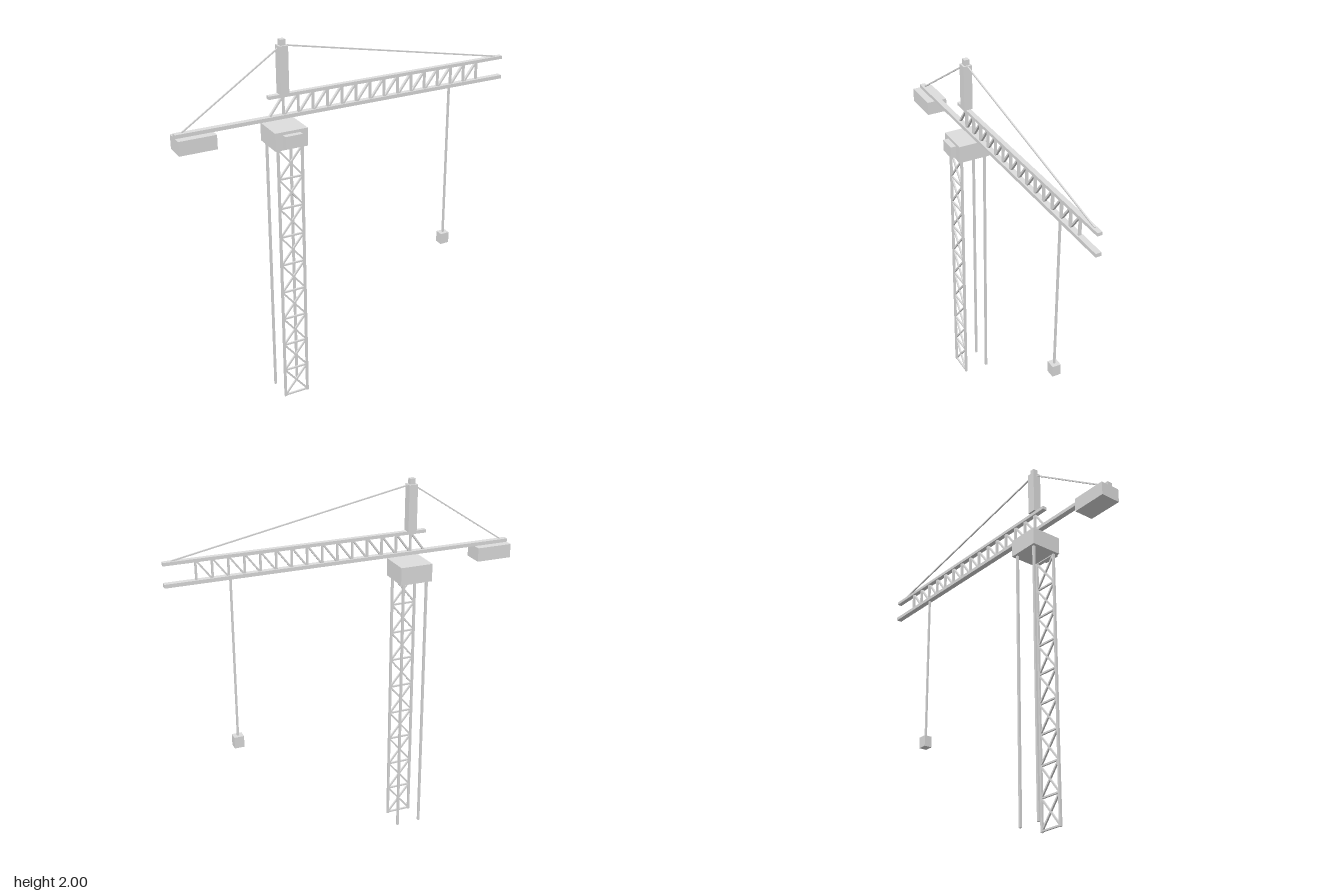
import * as THREE from 'three';

export function createModel() {
  const crane = new THREE.Group();
  crane.name = 'towerCrane';
  const steel = new THREE.MeshStandardMaterial({ color: 0xdedede });
  steel.name = 'paleSteelGrey';

  const CX = -0.364; // tower axis
  const CZ = -0.015; // jib plane

  const group = (name) => {
    const g = new THREE.Group();
    g.name = name;
    crane.add(g);
    return g;
  };

  // Box given by its extents: [x0, x1], [y0, y1], [z0, z1]
  const block = (name, [x0, x1], [y0, y1], [z0, z1], parent = crane) => {
    const m = new THREE.Mesh(new THREE.BoxGeometry(x1 - x0, y1 - y0, z1 - z0), steel);
    m.position.set((x0 + x1) / 2, (y0 + y1) / 2, (z0 + z1) / 2);
    m.name = name;
    parent.add(m);
  };
  const around = (c, w) => [c - w / 2, c + w / 2];
  const depth = (d) => around(CZ, d);

  // Bar of thickness t and depth d between two points of a plane at constant z
  const bar = (name, ax, ay, bx, by, z, t, d, parent = crane) => {
    const dx = bx - ax, dy = by - ay;
    const m = new THREE.Mesh(new THREE.BoxGeometry(t, Math.hypot(dx, dy), d), steel);
    m.position.set((ax + bx) / 2, (ay + by) / 2, z);
    m.rotation.z = Math.atan2(-dx, dy);
    m.name = name;
    parent.add(m);
  };

  // Tower: four posts, with the lattice on the front pair
  const tower = group('tower');
  const H = 1.468, bays = 9, half = 0.066, zf = CZ + half, zb = CZ - half - 0.002;
  const left = CX - half, right = CX + half;
  for (const x of [left, right])
    for (const z of [zf, zb]) block('towerPost', around(x, 0.012), [0, H], around(z, 0.012), tower);
  const step = (H - 0.01) / bays;
  for (let i = 0; i <= bays; i++) {
    const y = 0.007 + i * step;
    bar('towerRung', left, y, right, y, zf, 0.009, 0.009, tower);
    if (i === bays) break;
    bar('towerBrace', left, y, right, y + step, zf, 0.009, 0.009, tower);
    bar('towerBrace', right, y, left, y + step, zf, 0.009, 0.009, tower);
  }

  // Slewing platform and operator cabin
  block('platform', around(CX, 0.177), [1.466, 1.561], [-0.102, 0.073]);
  block('cabin', around(CX, 0.094), [1.482, 1.546], [0.073, 0.102]);

  // Jib: two chords with verticals and diagonals between
  const jib = group('jib');
  block('lowerChord', [-0.933, 0.934], [1.599, 1.618], depth(0.03), jib);
  block('upperChord', [-0.446, 0.934], [1.709, 1.726], depth(0.026), jib);
  const pitch = 0.0813;
  for (let i = 0; i < 15; i++) {
    const x = CX - pitch + i * pitch;
    bar('jibDiagonal', x, 1.609, x + pitch, 1.717, CZ, 0.009, 0.014, jib);
    bar('jibVertical', x + pitch, 1.609, x + pitch, 1.717, CZ, 0.009, 0.014, jib);
  }

  // Counterweight at the short end
  block('counterweight', [-0.933, -0.738], [1.525, 1.599], depth(0.112));

  // Mast head and tie cables
  block('mast', around(CX, 0.047), [1.726, 1.97], depth(0.047));
  block('mastCap', around(CX, 0.028), [1.97, 2], depth(0.028));
  bar('rearCable', CX, 1.97, -0.895, 1.618, CZ, 0.007, 0.007);
  bar('frontCable', CX, 1.97, 0.893, 1.726, CZ, 0.007, 0.007);

  // Hoist rope and load block
  block('hoistRope', around(0.605, 0.01), [0.735, 1.601], depth(0.01));
  block('loadBlock', around(0.605, 0.052), [0.673, 0.736], depth(0.046));

  return crane;
}
